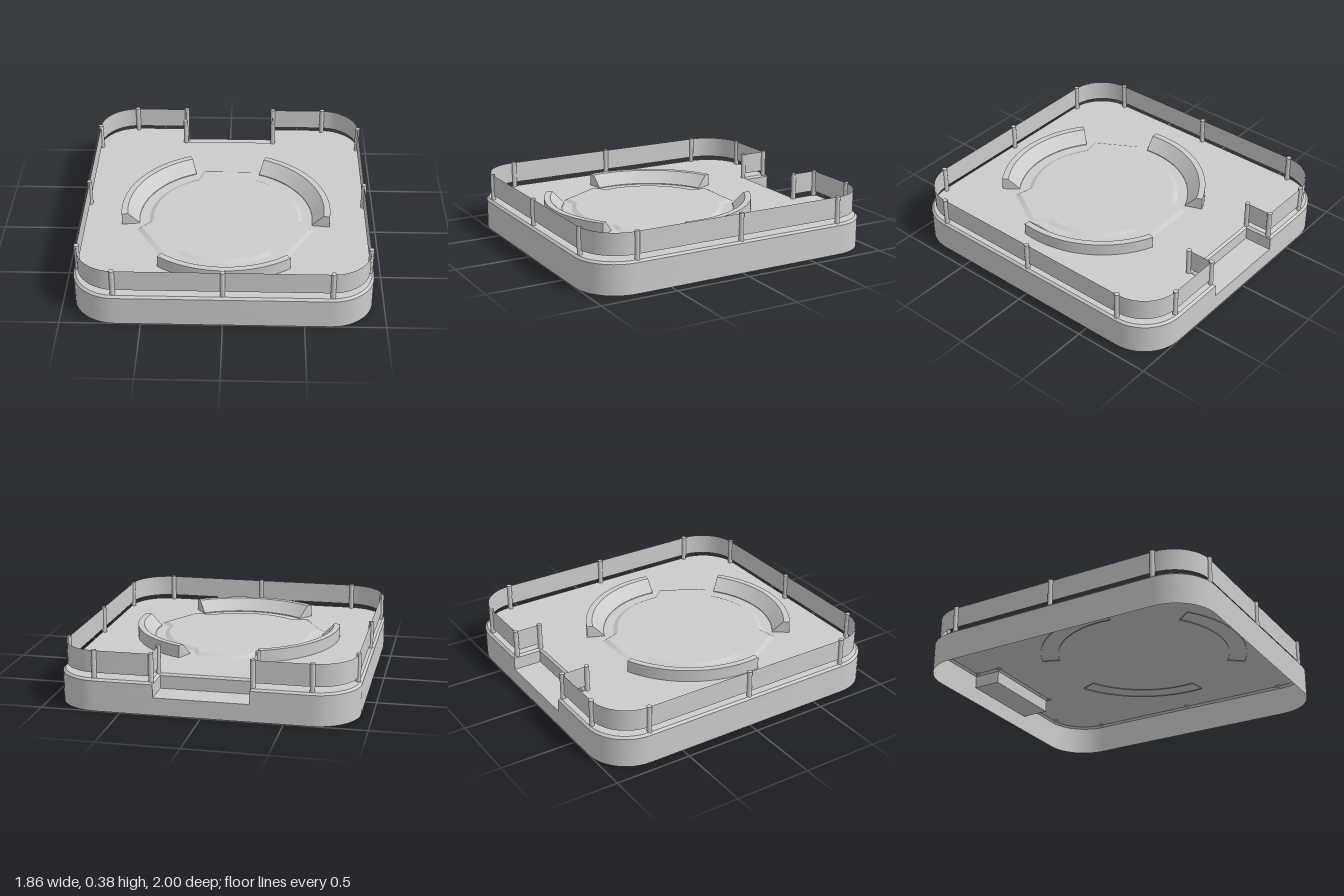
import * as THREE from 'three';
import { toCreasedNormals } from 'three/addons/utils/BufferGeometryUtils.js';

const material = new THREE.MeshStandardMaterial({ color: 0xcccccc, side: THREE.DoubleSide });
const DECK = 0.205, STEP = 0.11, HUB_Z = 0.15;
const V = (x, v) => new THREE.Vector2(x, v); // plan points: v = -z

// Plan outline of a rounded rectangle, optionally with a notch (half width w, depth line nv) at the back
function outline(hx, hz, r, w, nv) {
  const pts = w ? [V(-w, nv), V(-w, hz)] : [];
  const corners = [[-1, 1, 90], [-1, -1, 180], [1, -1, 270], [1, 1, 0]];
  for (const [sx, sz, start] of corners) {
    for (let i = 0; i <= 12; i++) {
      const a = THREE.MathUtils.degToRad(start + i * 7.5);
      pts.push(V(sx * (hx - r) + r * Math.cos(a), sz * (hz - r) + r * Math.sin(a)));
    }
  }
  if (w) pts.push(V(w, hz), V(w, nv));
  return pts;
}

// Strip joining two matching outlines at two heights
function ribbon(low, y0, high, y1, closed = true) {
  const pos = [], index = [], n = low.length;
  low.forEach((p, i) => pos.push(p.x, y0, -p.y, high[i].x, y1, -high[i].y));
  for (let i = 0; i < (closed ? n : n - 1); i++) {
    const a = 2 * i, b = 2 * ((i + 1) % n);
    index.push(a, b, b + 1, a, b + 1, a + 1);
  }
  const g = new THREE.BufferGeometry();
  g.setAttribute('position', new THREE.Float32BufferAttribute(pos, 3));
  g.setIndex(index);
  return toCreasedNormals(g, 0.6);
}

// Flat face filling an outline, facing up
function plate(pts, y) {
  return new THREE.ShapeGeometry(new THREE.Shape(pts)).rotateX(-Math.PI / 2).translate(0, y, 0);
}

// Dais outline: a disc with three straight-edged tabs
function daisOutline(inset) {
  const pts = [], r = 0.5 - inset;
  for (let k = 0; k < 3; k++) {
    const g = Math.PI / 2 + k * 2 * Math.PI / 3;
    const local = (d, t) => pts.push(
      V(d * Math.cos(g) - t * Math.sin(g), d * Math.sin(g) + t * Math.cos(g) - HUB_Z));
    const half = 0.165 - inset * 0.5, edge = 0.565 - inset;
    local(edge, -half);
    local(edge, half);
    const a0 = 0.41, a1 = 2 * Math.PI / 3 - 0.41;
    for (let i = 0; i <= 20; i++) {
      const a = a0 + (a1 - a0) * i / 20;
      local(r * Math.cos(a), r * Math.sin(a));
    }
  }
  return pts;
}

export function createModel() {
  const model = new THREE.Group();
  const add = (name, geometry, parent = model) => {
    const mesh = new THREE.Mesh(geometry, material);
    mesh.name = name;
    parent.add(mesh);
    return mesh;
  };

  // Hollow base: skirt, notched upper wall, softened edge and deck
  const full = outline(0.93, 1, 0.27);
  const notched = outline(0.93, 1, 0.27, 0.295, 0.815);
  const inner = outline(0.915, 0.985, 0.255, 0.31, 0.8);
  add('skirt', ribbon(full, 0, full, STEP));
  add('upperWall', ribbon(notched, STEP, notched, 0.192));
  add('deckEdge', ribbon(notched, 0.192, inner, DECK));
  add('deck', plate(inner, DECK));
  add('entranceStep', plate([V(-0.295, 0.815), V(0.295, 0.815), V(0.295, 1), V(-0.295, 1)], STEP));

  // Low raised dais with sloping border
  const daisLow = daisOutline(0), daisHigh = daisOutline(0.028);
  add('daisEdge', ribbon(daisLow, DECK, daisHigh, DECK + 0.014));
  add('daisTop', plate(daisHigh, DECK + 0.014));

  // Three curved wedge benches around the dais
  const profile = [V(0.68, 0.2), V(0.68, 0.285), V(0.64, 0.285), V(0.565, 0.21), V(0.565, 0.2)];
  const span = THREE.MathUtils.degToRad(75);
  for (let k = 0; k < 3; k++) {
    const bench = new THREE.Group();
    bench.name = 'bench' + (k + 1);
    bench.position.z = HUB_Z;
    bench.rotation.y = k * 2 * Math.PI / 3;
    add('benchBody', toCreasedNormals(
      new THREE.LatheGeometry(profile, 28, -span / 2, span), 0.5), bench);
    for (const s of [-1, 1]) {
      const cap = add('benchEnd', new THREE.ShapeGeometry(new THREE.Shape(profile)), bench);
      cap.rotation.y = s * span / 2 - Math.PI / 2;
    }
    model.add(bench);
  }

  // Railing panel, open at the entrance
  const rail = outline(0.905, 0.97, 0.25, 0.31, 0.8);
  add('railingPanel', ribbon(rail, 0.235, rail, 0.375, false));

  // Railing posts
  const posts = [[0, 0.97]];
  for (const s of [-1, 1]) {
    posts.push([s * 0.905, -0.72], [s * 0.905, 0], [s * 0.905, 0.715], [s * 0.665, 0.97],
      [s * 0.665, -0.97], [s * 0.31, -0.97], [s * 0.31, -0.8]);
  }
  const postGeometry = new THREE.CylinderGeometry(0.016, 0.016, 0.18, 16);
  for (const [x, z] of posts) add('railingPost', postGeometry).position.set(x, 0.29, z);

  return model;
}
